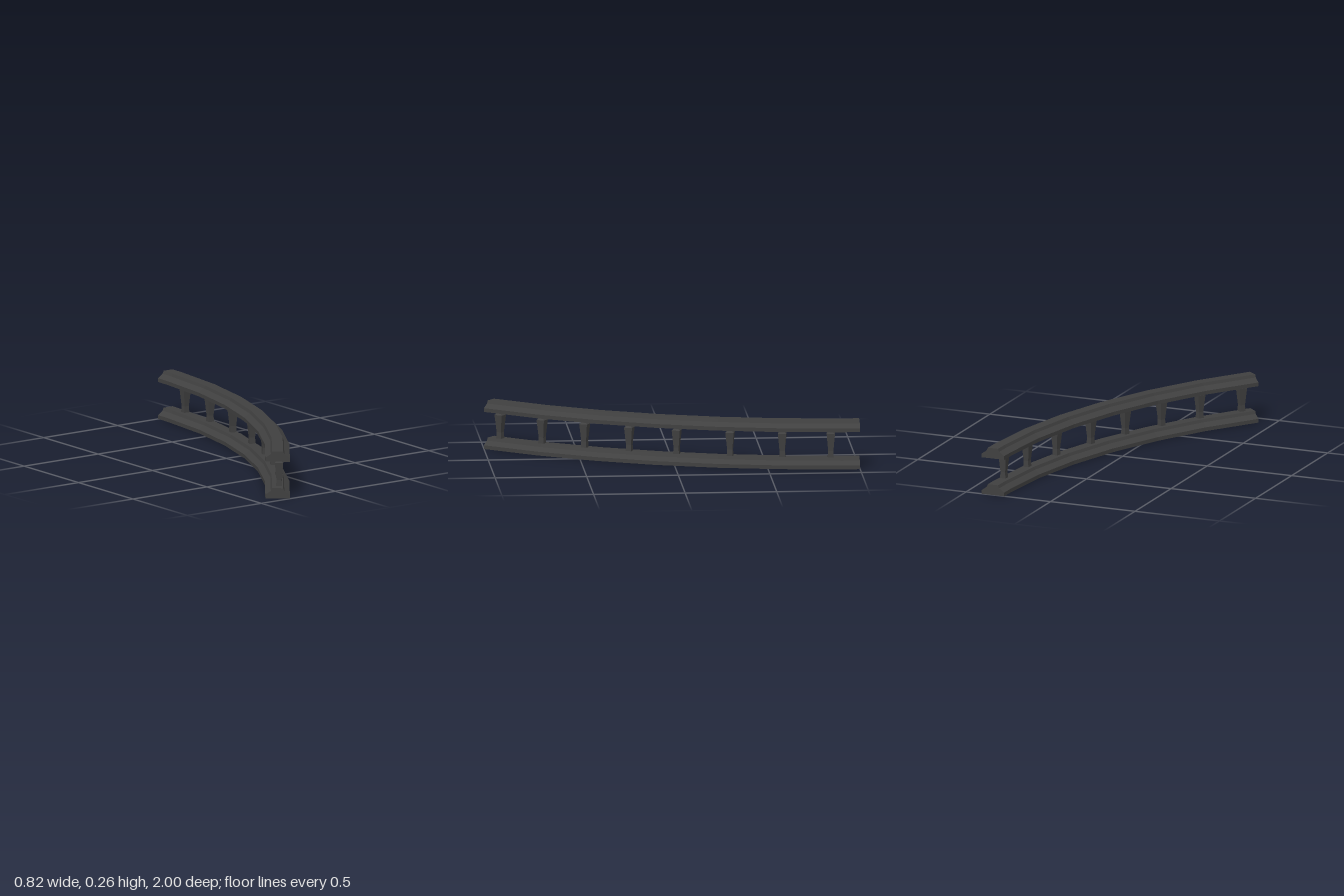
import * as THREE from 'three';

const DEG = Math.PI / 180;
// Arc that the railing follows, in plan
const CX = -2.803, CZ = -1.02, R = 3.144;
const ANGLES = [0.36, 2, 8.17, 14.33, 20.5, 26.67, 32.83, 39];
const BALUSTER_ANGLES = [3.2, 8, 13.2, 18.6, 23.5, 28.25, 32.95, 37.8];

const onArc = (deg, offset, y) => [
  CX + (R + offset) * Math.cos(deg * DEG), y, CZ + (R + offset) * Math.sin(deg * DEG),
];

// Moulded rail section: wide foot, sloping shoulder, narrow top
const HALF = [[0.067, 0], [0.067, 0.021], [0.037, 0.042], [0.03, 0.058]];
const SECTION = [...HALF, ...HALF.map(([s, y]) => [-s, y]).reverse()];

// Sweep the section along the arc and cap both ends
function railGeometry() {
  const n = SECTION.length;
  const positions = [], index = [];
  for (const a of ANGLES) for (const [s, y] of SECTION) positions.push(...onArc(a, s, y));
  for (let i = 0; i < ANGLES.length - 1; i++) {
    for (let j = 0; j < n; j++) {
      const a = i * n + j, b = i * n + (j + 1) % n;
      index.push(a, b, a + n, b, b + n, a + n);
    }
  }
  const outline = SECTION.map(([s, y]) => new THREE.Vector2(s, y));
  const last = (ANGLES.length - 1) * n;
  for (const [a, b, c] of THREE.ShapeUtils.triangulateShape(outline, [])) {
    index.push(a, c, b, last + a, last + b, last + c);
  }
  const geometry = new THREE.BufferGeometry();
  geometry.setAttribute('position', new THREE.Float32BufferAttribute(positions, 3));
  geometry.setIndex(index);
  geometry.computeVertexNormals();
  return geometry;
}

// Square tapering post with a flared shoulder and a short neck
function balusterGeometry() {
  const profile = [[0.0165, 0.055], [0.0143, 0.093], [0.0228, 0.188], [0.0146, 0.196], [0.0118, 0.209]];
  const points = profile.map(([half, y]) => new THREE.Vector2(half * Math.SQRT2, y));
  return new THREE.LatheGeometry(points, 4).rotateY(Math.PI / 4);
}

export function createModel() {
  const model = new THREE.Group();
  model.name = 'curvedBalustrade';
  const material = new THREE.MeshStandardMaterial({ color: 0x404040, flatShading: true });

  // Bottom and top rails share one section
  const rail = railGeometry();
  for (const [name, y] of [['bottomRail', 0], ['topRail', 0.206]]) {
    const mesh = new THREE.Mesh(rail, material);
    mesh.name = name;
    mesh.position.y = y;
    model.add(mesh);
  }

  // Balusters turned to follow the curve
  const post = balusterGeometry();
  const balusters = new THREE.Group();
  balusters.name = 'balusters';
  BALUSTER_ANGLES.forEach((a, i) => {
    const mesh = new THREE.Mesh(post, material);
    mesh.name = `baluster${i + 1}`;
    mesh.position.set(...onArc(a, 0.006, 0));
    mesh.rotation.y = -a * DEG;
    balusters.add(mesh);
  });
  model.add(balusters);
  return model;
}
